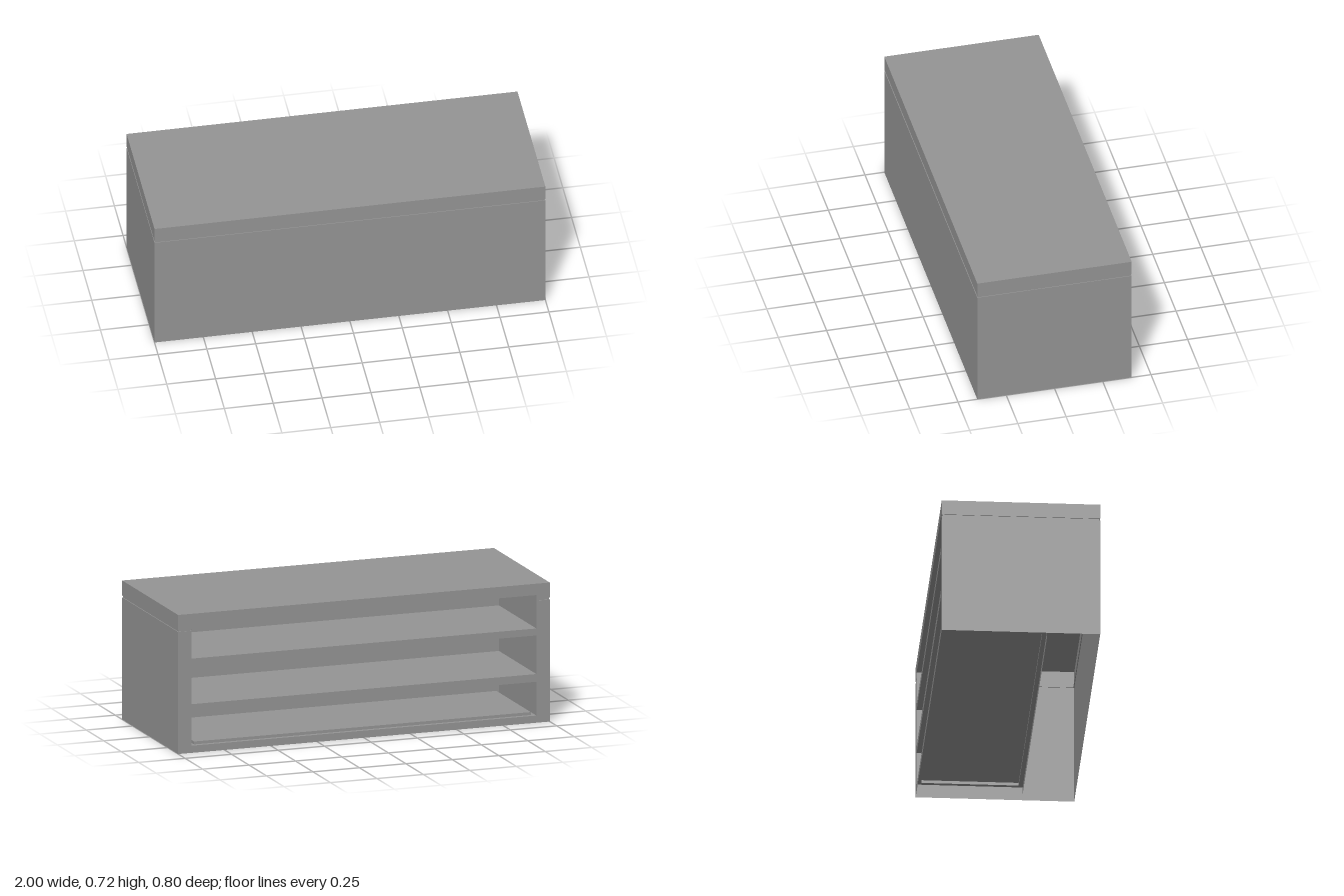
import * as THREE from 'three';

const material = new THREE.MeshStandardMaterial({ color: 0x949494, side: THREE.DoubleSide });

export function createModel() {
  const model = new THREE.Group();

  // Flat rectangular sheets, each given by its two extents and its fixed coordinate
  const add = (name, geometry) => {
    const mesh = new THREE.Mesh(geometry, material);
    mesh.name = name;
    model.add(mesh);
  };
  const sheetZ = (name, x0, x1, y0, y1, z, facing = 1) => {
    const g = new THREE.PlaneGeometry(x1 - x0, y1 - y0);
    if (facing < 0) g.rotateY(Math.PI);
    add(name, g.translate((x0 + x1) / 2, (y0 + y1) / 2, z));
  };
  const sheetX = (name, z0, z1, y0, y1, x, facing = 1) => {
    const g = new THREE.PlaneGeometry(z1 - z0, y1 - y0).rotateY(facing * Math.PI / 2);
    add(name, g.translate(x, (y0 + y1) / 2, (z0 + z1) / 2));
  };
  const sheetY = (name, x0, x1, z0, z1, y, facing = 1) => {
    const g = new THREE.PlaneGeometry(x1 - x0, z1 - z0).rotateX(-facing * Math.PI / 2);
    add(name, g.translate((x0 + x1) / 2, y, (z0 + z1) / 2));
  };

  const W = 1, D = 0.4, H = 0.72;          // outer half width, half depth, height
  const IN = 0.928, INNER_Z = 0.135;       // compartment half width and inner end
  const G0 = 0.632, G1 = 0.642, R = 0.004; // shadow groove and its recess
  const openings = [[0.037, 0.212], [0.252, 0.452], [0.488, 0.661]];

  // Outer skin in three bands: body, recessed groove, countertop edge
  const bands = [['body', 0, G0, 0], ['groove', G0, G1, R], ['countertop', G1, H, 0]];
  for (const [name, y0, y1, inset] of bands) {
    sheetZ(name + 'Front', -W + inset, W - inset, y0, y1, D - inset);
    for (const s of [-1, 1]) {
      sheetX(name + 'Side', -D + inset, D - inset, y0, y1, s * (W - inset), s);
      const a = s * IN, b = s * (W - inset);
      sheetZ(name + 'BackStile', Math.min(a, b), Math.max(a, b), y0, y1, -D + inset, -1);
    }
  }
  sheetY('countertop', -W, W, -D, D, H);

  // Narrow ledges above and below the groove
  for (const [y, facing] of [[G0, 1], [G1, -1]]) {
    sheetY('grooveLedge', -W, W, D - R, D, y, facing);
    for (const s of [-1, 1]) {
      const x = s * (W - R / 2), c = s * (W + IN) / 2, h = (W - IN) / 2;
      sheetY('grooveLedge', x - R / 2, x + R / 2, -D, D, y, facing);
      sheetY('grooveLedge', c - h, c + h, -D, -D + R, y, facing);
    }
  }

  // Horizontal rails across the back, between the openings
  const edges = [0, ...openings.flat(), H];
  for (let i = 0; i < edges.length; i += 2) {
    sheetZ('backRail', -IN, IN, edges[i], edges[i + 1], -D, -1);
  }

  // Compartments: side walls, ceilings and shelf tops
  openings.forEach(([y0, y1], i) => {
    for (const s of [-1, 1]) sheetX('compartmentWall', -D, INNER_Z, y0, y1, s * IN, -s);
    sheetY('compartmentCeiling', -IN, IN, -D, INNER_Z, y1, -1);
    if (i > 0) sheetY('shelfTop', -IN, IN, -D, INNER_Z, y0);
  });
  sheetZ('compartmentEnd', -IN, IN, 0, openings[2][1], INNER_Z, -1);

  // Bottom floor: a rim with a slightly raised inset panel
  const y = openings[0][0], top = y + 0.015, m = 0.022;
  const px = IN - m, z0 = -D + m, z1 = INNER_Z - m;
  sheetY('floorRim', -IN, IN, -D, z0, y);
  sheetY('floorRim', -IN, IN, z1, INNER_Z, y);
  for (const s of [-1, 1]) {
    const c = s * (px + IN) / 2;
    sheetY('floorRim', c - m / 2, c + m / 2, z0, z1, y);
    sheetX('floorStep', z0, z1, y, top, s * px, s);
  }
  sheetZ('floorStep', -px, px, y, top, z0, -1);
  sheetZ('floorStep', -px, px, y, top, z1);
  sheetY('floorPanel', -px, px, z0, z1, top);

  return model;
}
